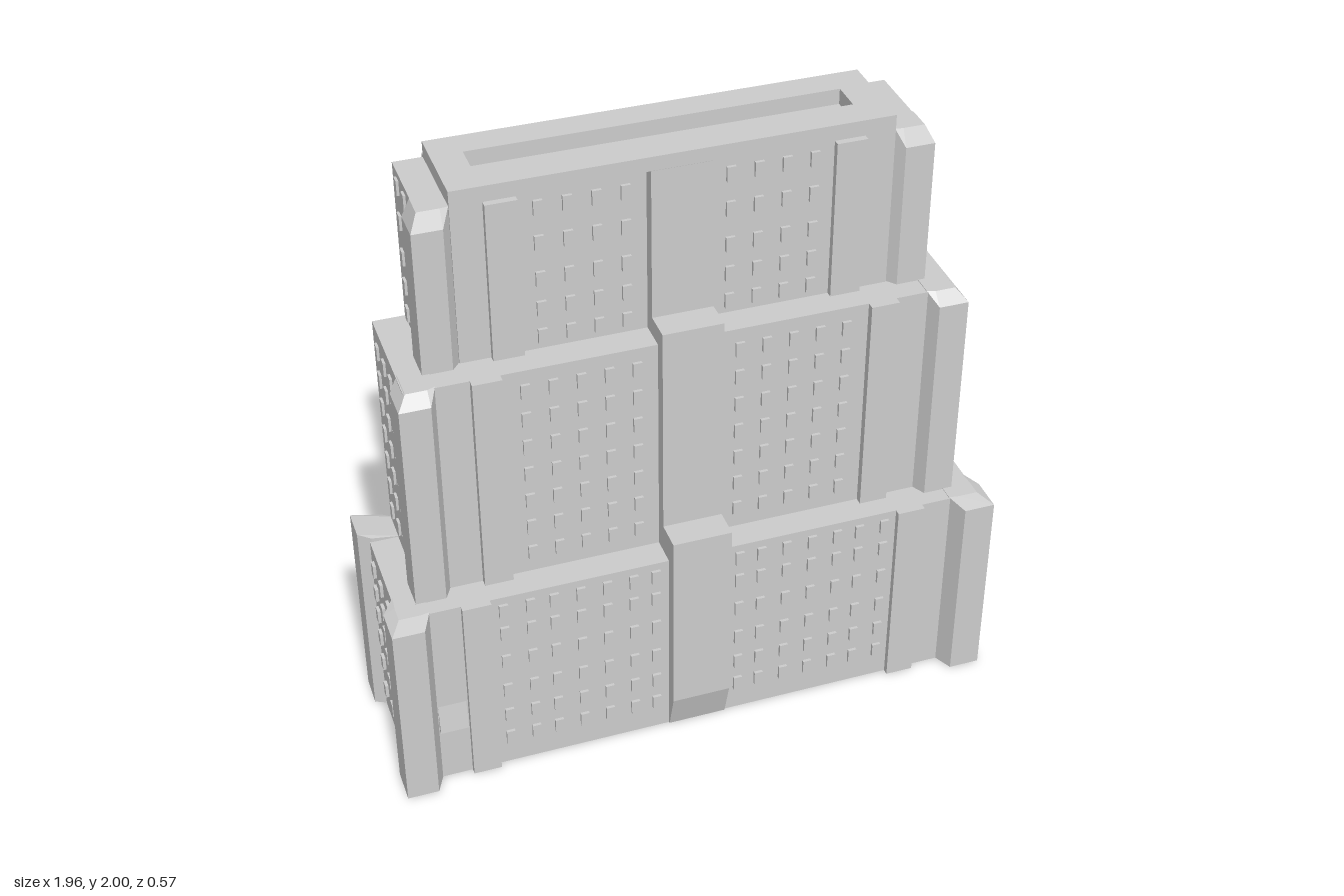
import * as THREE from 'three';
import { ConvexGeometry } from 'three/addons/geometries/ConvexGeometry.js';

const material = new THREE.MeshStandardMaterial({ color: 0xcccccc, flatShading: true });

export function createModel() {
  const model = new THREE.Group();

  function add(name, geometry, parent = model) {
    const mesh = new THREE.Mesh(geometry, material);
    mesh.name = name;
    parent.add(mesh);
    return mesh;
  }

  // Box given by its limits on each axis
  function block(name, x0, x1, y0, y1, z0, z1, parent) {
    const g = new THREE.BoxGeometry(x1 - x0, y1 - y0, z1 - z0);
    g.translate((x0 + x1) / 2, (y0 + y1) / 2, (z0 + z1) / 2);
    return add(name, g, parent);
  }

  // Side profile of [z, y] points extruded across x
  function profile(name, points, x0, x1) {
    const shape = new THREE.Shape(points.map(([z, y]) => new THREE.Vector2(-z, y)));
    const g = new THREE.ExtrudeGeometry(shape, { depth: x1 - x0, bevelEnabled: false });
    g.rotateY(Math.PI / 2);
    g.translate(x0, 0, 0);
    return add(name, g);
  }

  // Stepped tiers sharing one flat back wall
  const back = -0.26;
  block('lowerTier', -0.945, 0.945, 0, 0.685, back, 0.225);
  block('middleTier', -0.855, 0.855, 0.685, 1.43, back, 0.13);
  block('upperTier', -0.755, 0.755, 1.43, 1.95, back, 0.03);
  block('upperCore', -0.665, 0.665, 1.43, 1.95, back, 0.035);

  // Roof parapet around a long sunken slot
  const rect = (T, x, z0, z1) => new T([[-x, z0], [x, z0], [x, z1], [-x, z1]].map(p => new THREE.Vector2(...p)));
  const roof = rect(THREE.Shape, 0.665, -0.035, 0.26);
  roof.holes.push(rect(THREE.Path, 0.57, 0.065, 0.165));
  const parapet = new THREE.ExtrudeGeometry(roof, { depth: 0.05, bevelEnabled: false });
  parapet.rotateX(-Math.PI / 2);
  parapet.translate(0, 1.95, 0);
  add('roofParapet', parapet);

  // Corner piers: six-sided plan with chamfered flanks and a sloping cap
  function pier(name, plan, y0, shoulder, top, capX, capZ) {
    for (const side of [-1, 1]) {
      const pts = [];
      for (const [x, z] of plan) {
        pts.push(new THREE.Vector3(side * x, y0, z), new THREE.Vector3(side * x, shoulder, z));
        pts.push(new THREE.Vector3(side * Math.min(x, capX), top, Math.min(z, capZ)));
      }
      add(name, new ConvexGeometry(pts));
    }
  }
  pier('lowerFrontPier', [[0.85, 0.12], [0.94, 0.12], [0.98, 0.17], [0.98, 0.283], [0.88, 0.283], [0.85, 0.22]],
    0, 0.67, 0.687, 0.945, 0.225);
  pier('middlePier', [[0.76, 0.035], [0.85, 0.035], [0.88, 0.065], [0.88, 0.172], [0.785, 0.172], [0.76, 0.125]],
    0.685, 1.395, 1.432, 0.85, 0.135);
  pier('upperPier', [[0.66, -0.06], [0.75, -0.06], [0.782, -0.045], [0.782, 0.06], [0.69, 0.06], [0.665, 0.03]],
    1.43, 1.9, 1.952, 0.757, 0.033);

  // Rear piers rise slightly toward the outside
  for (const side of [-1, 1]) {
    const pts = [];
    for (const [x, z, y] of [[0.85, -0.26, 0.687], [0.88, -0.282, 0.687], [0.98, -0.282, 0.71],
      [0.98, -0.18, 0.71], [0.94, -0.16, 0.7], [0.85, -0.16, 0.687]]) {
      pts.push(new THREE.Vector3(side * x, 0, z), new THREE.Vector3(side * x, y, z));
    }
    add('rearPier', new ConvexGeometry(pts));
  }

  // Flat pilasters
  for (const s of [-1, 1]) {
    const strip = (name, a, b, ...rest) => block(name, Math.min(s * a, s * b), Math.max(s * a, s * b), ...rest);
    strip('lowerPilaster', 0.665, 0.755, 0, 0.685, 0.2, 0.245);
    strip('middlePilaster', 0.57, 0.66, 0.685, 1.43, 0.1, 0.155);
    strip('upperPilaster', 0.475, 0.57, 1.43, 1.95, 0, 0.056);
    strip('rearPilaster', 0.57, 0.663, 0, 1.95, -0.285, -0.25);
  }
  block('rearCentralShaft', -0.095, 0.095, 0, 1.95, -0.285, -0.25);

  // Stepped central shaft, undercut over the entrance
  profile('lowerCentralShaft', [[0.1, 0], [0.23, 0], [0.268, 0.13], [0.268, 0.78], [0.1, 0.78]], -0.095, 0.095);
  profile('middleCentralShaft', [[0, 0.78], [0.172, 0.78], [0.172, 1.49], [0, 1.49]], -0.095, 0.095);
  profile('upperCentralShaft', [[0, 1.49], [0.077, 1.49], [0.077, 1.98], [0.03, 1.952], [0, 1.952]], -0.095, 0.095);

  // Small sloping canopy at the right of the front
  profile('canopy', [[0.22, 0.2], [0.24, 0.2], [0.225, 0.3], [0.22, 0.3]], -0.85, -0.76);

  // Projecting windows
  const spaced = (a, b, n) => Array.from({ length: n }, (_, i) => a + (b - a) * i / (n - 1));
  const mirrored = xs => [...xs.map(x => -x), ...xs];
  function windows(name, across, rows, wall, axis, out = 0.01) {
    const group = new THREE.Group();
    group.name = name;
    const w = 0.014, h = 0.024;
    const lo = wall - out, hi = wall + out;
    for (const a of across) for (const y of rows) {
      if (axis === 'z') block('window', a - w, a + w, y - h, y + h, lo, hi, group);
      else block('window', lo, hi, y - h, y + h, a - w, a + w, group);
    }
    model.add(group);
  }
  const lowerRows = [0.11, 0.205, 0.31, 0.43, 0.545, 0.635];
  const middleRows = spaced(0.76, 1.36, 7);
  const upperRows = [1.475, 1.57, 1.67, 1.79, 1.905];
  const fiveColumns = mirrored(spaced(0.16, 0.5, 5));
  windows('lowerFrontWindows', mirrored([0.138, 0.21, 0.295, 0.38, 0.465, 0.54, 0.625]), lowerRows, 0.225, 'z');
  windows('middleFrontWindows', fiveColumns, middleRows, 0.13, 'z');
  windows('upperFrontWindows', mirrored(spaced(0.158, 0.415, 4)), upperRows, 0.035, 'z');
  windows('rearWindows', fiveColumns, [...lowerRows, ...middleRows, ...upperRows], back, 'z');
  for (const s of [-1, 1]) {
    windows('lowerSideWindows', [0.085, -0.015, -0.11], [0.11, 0.23, 0.335, 0.43, 0.52, 0.615], s * 0.945, 'x');
    windows('middleSideWindows', [-0.03, -0.115, -0.2], middleRows, s * 0.855, 'x', 0.008);
    windows('upperSideWindows', [-0.115, -0.2], upperRows, s * 0.755, 'x', 0.008);
  }

  return model;
}
